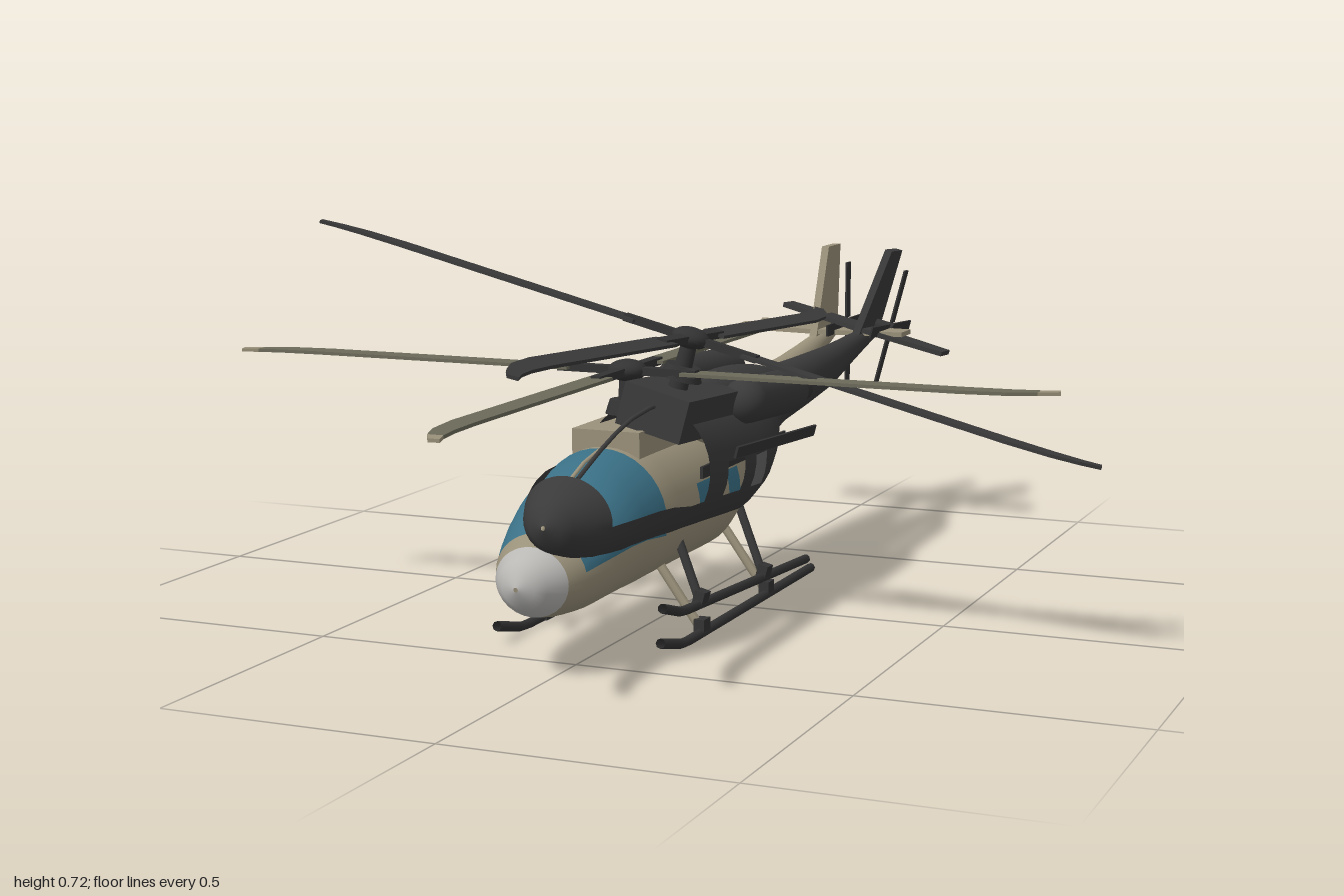
import * as THREE from 'three';

const mat = (name, color, side = THREE.DoubleSide) => {
  const m = new THREE.MeshStandardMaterial({ color, side });
  m.name = name;
  return m;
};

// hull cross-sections: z, centre height, half width, half height
const SECTIONS = [
  [0.665, 0.165, 0.004, 0.004], [0.655, 0.165, 0.03, 0.03], [0.64, 0.165, 0.046, 0.043],
  [0.605, 0.165, 0.068, 0.06], [0.57, 0.17, 0.085, 0.072], [0.535, 0.18, 0.096, 0.085],
  [0.5, 0.19, 0.105, 0.097], [0.45, 0.204, 0.114, 0.109], [0.4, 0.214, 0.12, 0.118],
  [0.325, 0.221, 0.125, 0.125], [0.265, 0.222, 0.125, 0.125], [0.175, 0.222, 0.125, 0.125],
  [0.09, 0.222, 0.125, 0.125], [0.035, 0.222, 0.125, 0.125], [-0.02, 0.222, 0.125, 0.125],
  [-0.08, 0.232, 0.116, 0.118], [-0.12, 0.248, 0.104, 0.104], [-0.16, 0.272, 0.085, 0.084],
  [-0.2, 0.293, 0.068, 0.069], [-0.3, 0.311, 0.055, 0.062], [-0.45, 0.328, 0.045, 0.055],
  [-0.6, 0.348, 0.035, 0.047], [-0.7, 0.373, 0.027, 0.034], [-0.8, 0.398, 0.02, 0.022],
  [-0.9, 0.416, 0.01, 0.012], [-0.902, 0.416, 0.001, 0.001],
];
const SEG = 36;
const HUB = new THREE.Vector3(0, 0.47, 0.215);

// which surface a hull patch belongs to
function patchKind(z, j) {
  const side = j < 3 || (j >= 17 && j < 20);
  if (z > 0.605) return 'nose';
  if (z < 0.57 && z > 0.325 && j < 20) return 'glass';
  if (z < 0.325 && z > 0.265 && j < 20) return 'frame';
  if (side && ((z < 0.175 && z > 0.09) || (z < 0.035 && z > -0.02))) return 'glass';
  return 'body';
}

function hullGeometry(kinds) {
  const pos = [], index = [], geo = new THREE.BufferGeometry();
  for (const [z, cy, rx, ry] of SECTIONS) {
    const skew = THREE.MathUtils.clamp((z - 0.325) / 0.245, 0, 1) * 0.35;
    for (let j = 0; j < SEG; j++) {
      const t = ((j - 1) * Math.PI * 2) / SEG;
      const a = t + skew * Math.cos(t);
      pos.push(rx * Math.cos(a), cy + ry * Math.sin(a), z);
    }
  }
  kinds.forEach((kind, k) => {
    const start = index.length;
    for (let i = 0; i < SECTIONS.length - 1; i++) {
      const zm = (SECTIONS[i][0] + SECTIONS[i + 1][0]) / 2;
      for (let j = 0; j < SEG; j++) {
        if (patchKind(zm, j) !== kind) continue;
        const n = (j + 1) % SEG;
        const a = i * SEG + j, b = a + SEG, c = i * SEG + n, d = c + SEG;
        index.push(a, b, c, c, b, d);
      }
    }
    geo.addGroup(start, index.length - start, k);
  });
  geo.setAttribute('position', new THREE.Float32BufferAttribute(pos, 3));
  geo.setIndex(index);
  geo.computeVertexNormals();
  return geo;
}

function plate(points, depth) {
  const shape = new THREE.Shape(points.map(p => new THREE.Vector2(...p)));
  const g = new THREE.ExtrudeGeometry(shape, { depth, bevelEnabled: false });
  return g.translate(0, 0, -depth / 2);
}

function tube(points, r) {
  const path = new THREE.CurvePath();
  const v = points.map(p => new THREE.Vector3(...p));
  for (let i = 0; i < v.length - 1; i++) path.add(new THREE.LineCurve3(v[i], v[i + 1]));
  return new THREE.TubeGeometry(path, 24, r, 8);
}

// c: body, nose, glass, frame, blade, tip, metal (an open canopy leaves out glass and frame)
function helicopter(c) {
  const g = new THREE.Group();
  const add = (name, geo, m, x = 0, y = 0, z = 0, parent = g) => {
    const mesh = new THREE.Mesh(geo, m);
    mesh.name = name;
    mesh.position.set(x, y, z);
    parent.add(mesh);
    return mesh;
  };
  const kinds = ['body', 'nose', 'glass', 'frame'].filter(k => c[k]);
  add('hull', hullGeometry(kinds), kinds.map(k => c[k]));

  // thin centre bar over the canopy
  const bar = SECTIONS.filter(s => s[0] <= 0.57 && s[0] >= 0.265).map(s => [0, s[1] + s[3], s[0]]);
  add('canopyBar', tube(bar, 0.004), c.body);

  // roof cowling, engines and door rails
  add('roofCowling', new THREE.BoxGeometry(0.13, 0.08, 0.25), c.body, 0, 0.335, 0.185);
  add('rearCowling', new THREE.SphereGeometry(1, 24, 12).scale(0.06, 0.045, 0.24), c.body, 0, 0.345, -0.08);
  for (const s of [-1, 1]) {
    add('enginePod', new THREE.CapsuleGeometry(0.044, 0.22, 8, 20).rotateX(Math.PI / 2), c.body, s * 0.07, 0.355, -0.075);
    add('exhaust', new THREE.CylinderGeometry(0.024, 0.024, 0.05, 16).rotateX(Math.PI / 2), c.metal, s * 0.075, 0.355, -0.235);
    add('doorRail', new THREE.BoxGeometry(0.005, 0.022, 0.42), c.metal, s * 0.127, 0.285, -0.035);
    // landing gear
    add('skid', tube([[s * 0.157, 0.01, -0.32], [s * 0.157, 0.01, 0.33], [s * 0.157, 0.034, 0.43]], 0.009), c.metal);
    for (const z of [0.24, -0.08]) {
      add('skidLeg', tube([[s * 0.157, 0.01, z], [s * 0.07, 0.13, z]], 0.009), c.body);
      add('skidClamp', new THREE.BoxGeometry(0.02, 0.03, 0.03), c.metal, s * 0.155, 0.02, z);
    }
  }

  // tail surfaces
  const fin = plate([[0.75, 0.4], [0.83, 0.6], [0.905, 0.6], [0.89, 0.41]], 0.016).rotateY(Math.PI / 2);
  add('tailFin', fin, c.body);
  const stab = plate([[-0.19, 0.785], [0, 0.765], [0.19, 0.785], [0.19, 0.845], [0, 0.86], [-0.19, 0.845]], 0.01);
  add('stabiliser', stab.rotateX(-Math.PI / 2), c.body, 0, 0.422, 0);

  // tail rotor
  const tail = new THREE.Group();
  tail.name = 'tailRotor';
  tail.position.set(0.042, 0.43, -0.86);
  g.add(tail);
  add('tailShaft', new THREE.CylinderGeometry(0.014, 0.014, 0.05, 12).rotateZ(Math.PI / 2), c.metal, -0.018, 0, 0, tail);
  for (let i = 0; i < 4; i++) {
    const b = add('tailBlade', new THREE.BoxGeometry(0.004, 0.12, 0.024).translate(0, 0.075, 0), c.metal, 0, 0, 0, tail);
    b.rotation.x = i * Math.PI / 2;
  }

  // mast, hub and main rotor
  add('mast', new THREE.CylinderGeometry(0.014, 0.02, 0.14, 16), c.metal, 0, 0.405, HUB.z);
  add('swashPlate', new THREE.CylinderGeometry(0.032, 0.04, 0.025, 20), c.metal, 0, 0.405, HUB.z);
  const rotor = new THREE.Group();
  rotor.name = 'mainRotor';
  rotor.position.copy(HUB);
  g.add(rotor);
  add('hub', new THREE.SphereGeometry(0.036, 20, 12).scale(1, 0.55, 1), c.metal, 0, 0, 0, rotor);
  const blade = plate([[-0.022, 0.11], [-0.022, 0.62], [-0.012, 0.7], [0.006, 0.75], [0.034, 0.75],
    [0.026, 0.7], [0.022, 0.62], [0.022, 0.11]], 0.006).rotateX(Math.PI / 2);
  const tip = plate([[0.006, 0.75], [0.026, 0.785], [0.044, 0.78], [0.034, 0.75]], 0.006).rotateX(Math.PI / 2);
  for (let i = 0; i < 4; i++) {
    const arm = new THREE.Group();
    arm.name = 'rotorBlade';
    arm.rotation.y = i * Math.PI / 2;
    rotor.add(arm);
    add('bladeGrip', new THREE.BoxGeometry(0.02, 0.014, 0.12), c.metal, 0, 0, 0.075, arm);
    add('blade', blade, c.blade, 0, 0, 0, arm);
    add('bladeTip', tip, c.tip, 0, 0, 0, arm);
  }
  return g;
}

export function createModel() {
  const tan = mat('tan paint', 0x9a917a), charcoal = mat('charcoal', 0x3b3a3a);
  const metal = mat('dark metal', 0x333333), olive = mat('olive blade', 0x6c6b5a);
  const glass = mat('blue glass', 0x3a7086), pale = mat('pale nose', 0xb9b8b5);
  const model = new THREE.Group();

  // upright painted helicopter
  const painted = helicopter({ body: tan, nose: pale, glass, frame: tan, blade: olive, tip: tan, metal });
  painted.name = 'paintedHelicopter';
  painted.position.x = -0.03;
  model.add(painted);

  // tilted dark helicopter with an open canopy, placed by its rotor hub
  const dark = helicopter({ body: charcoal, nose: charcoal, blade: charcoal, tip: charcoal, metal });
  dark.position.copy(HUB).negate();
  const tilt = new THREE.Group();
  tilt.name = 'darkHelicopter';
  tilt.position.set(0.08, 0.53, 0.185);
  tilt.rotation.set(-0.056, 0, -0.243);
  tilt.scale.setScalar(0.975);
  tilt.add(dark);
  model.add(tilt);
  return model;
}
